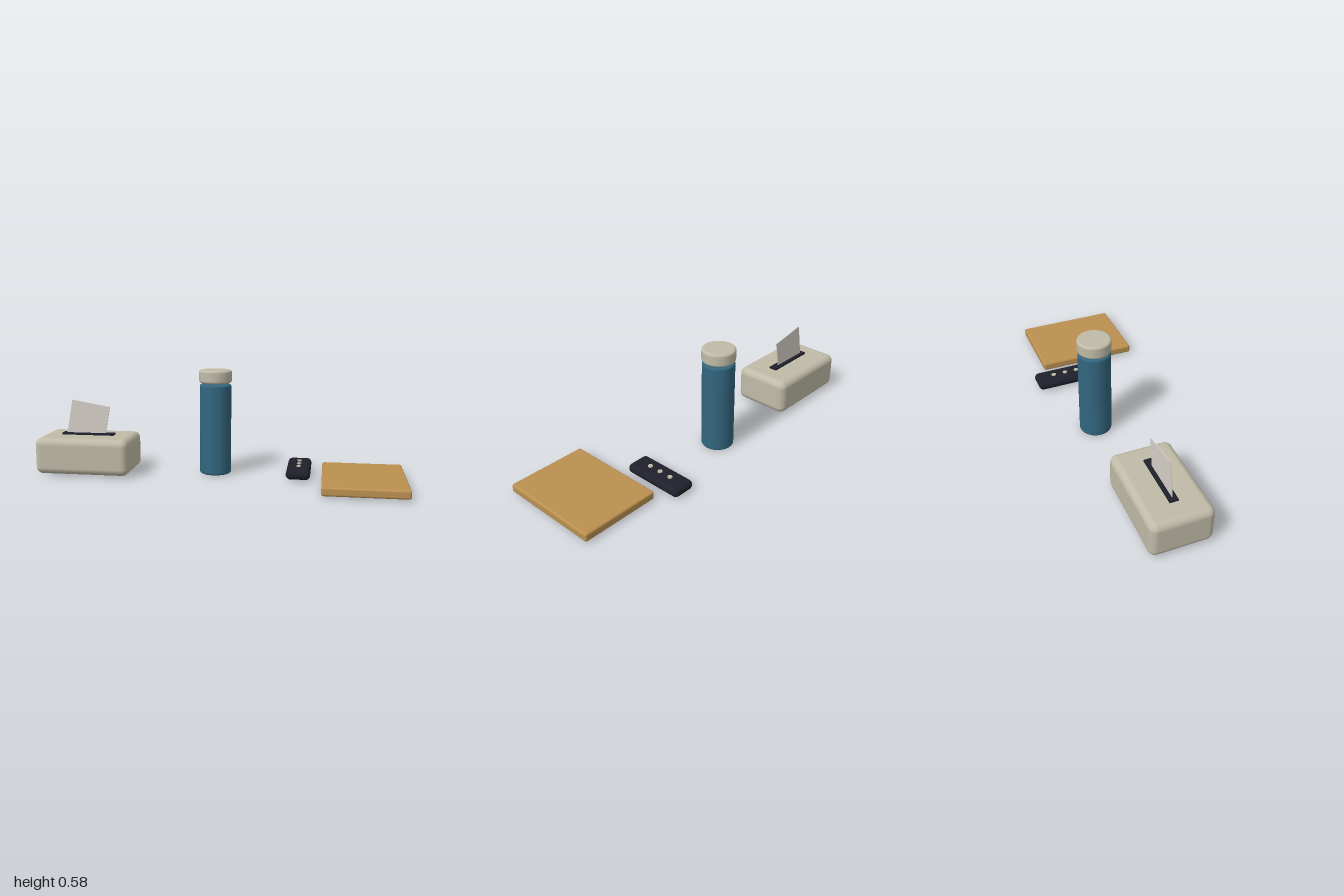
import * as THREE from 'three';
import { RoundedBoxGeometry } from 'three/addons/geometries/RoundedBoxGeometry.js';

const material = (name, color) => {
  const m = new THREE.MeshStandardMaterial({ color });
  m.name = name;
  return m;
};

export function createModel() {
  const root = new THREE.Group();
  root.name = 'householdItems';
  const stone = material('warm stone', 0xc0bba7);
  const blue = material('deep teal blue', 0x33667f);
  const dark = material('near black', 0x20202c);
  const wood = material('honey wood', 0xbb9050);
  const paper = material('paper white', 0xd6d0c8);
  paper.side = THREE.DoubleSide;

  const group = (name) => {
    const g = new THREE.Group();
    g.name = name;
    root.add(g);
    return g;
  };
  const add = (parent, name, geometry, mat, x, y, z) => {
    const mesh = new THREE.Mesh(geometry, mat);
    mesh.name = name;
    mesh.position.set(x, y, z);
    parent.add(mesh);
    return mesh;
  };
  // Round solid with softened rims, standing on its own y = 0
  const roundSolid = (radius, height, bevel) => {
    const pts = [new THREE.Vector2(0, 0)];
    for (const [cy, start] of [[bevel, -Math.PI / 2], [height - bevel, 0]]) {
      for (let i = 0; i <= 5; i++) {
        const a = start + (i / 5) * (Math.PI / 2);
        pts.push(new THREE.Vector2(radius - bevel + Math.cos(a) * bevel, cy + Math.sin(a) * bevel));
      }
    }
    pts.push(new THREE.Vector2(0, height));
    return new THREE.LatheGeometry(pts, 48);
  };

  // Tissue box with slot and a tilted sheet
  const tissue = group('tissueBox');
  add(tissue, 'boxBody', new RoundedBoxGeometry(0.524, 0.2, 0.326, 5, 0.038), stone, -0.738, 0.107, -0.066);
  add(tissue, 'slot', new THREE.BoxGeometry(0.296, 0.011, 0.045), dark, -0.738, 0.2115, -0.067);
  const sheet = new THREE.Shape([
    [-0.863, 0.215], [-0.64, 0.215], [-0.612, 0.365], [-0.828, 0.403],
  ].map(([x, y]) => new THREE.Vector2(x, y)));
  add(tissue, 'tissueSheet', new THREE.ExtrudeGeometry(sheet, { depth: 0.005, bevelEnabled: false }), paper, 0, 0, -0.069);

  // Flask with a separate cap
  const flask = group('flask');
  add(flask, 'flaskBody', roundSolid(0.087, 0.498, 0.011), blue, -0.026, 0, -0.128);
  add(flask, 'flaskCap', roundSolid(0.09, 0.071, 0.013), stone, -0.026, 0.506, -0.128);

  // Remote control with three buttons
  const remote = group('remoteControl');
  add(remote, 'remoteBody', new RoundedBoxGeometry(0.13, 0.052, 0.344, 5, 0.0245), dark, 0.439, 0.033, -0.15);
  for (let i = 0; i < 3; i++) {
    add(remote, 'button', new THREE.CylinderGeometry(0.0125, 0.0125, 0.008, 20), stone, 0.439, 0.061, -0.219 + i * 0.069);
  }

  // Wooden board
  add(root, 'woodenBoard', new RoundedBoxGeometry(0.434, 0.046, 0.56, 4, 0.011), wood, 0.783, 0.032, 0.042);
  return root;
}
